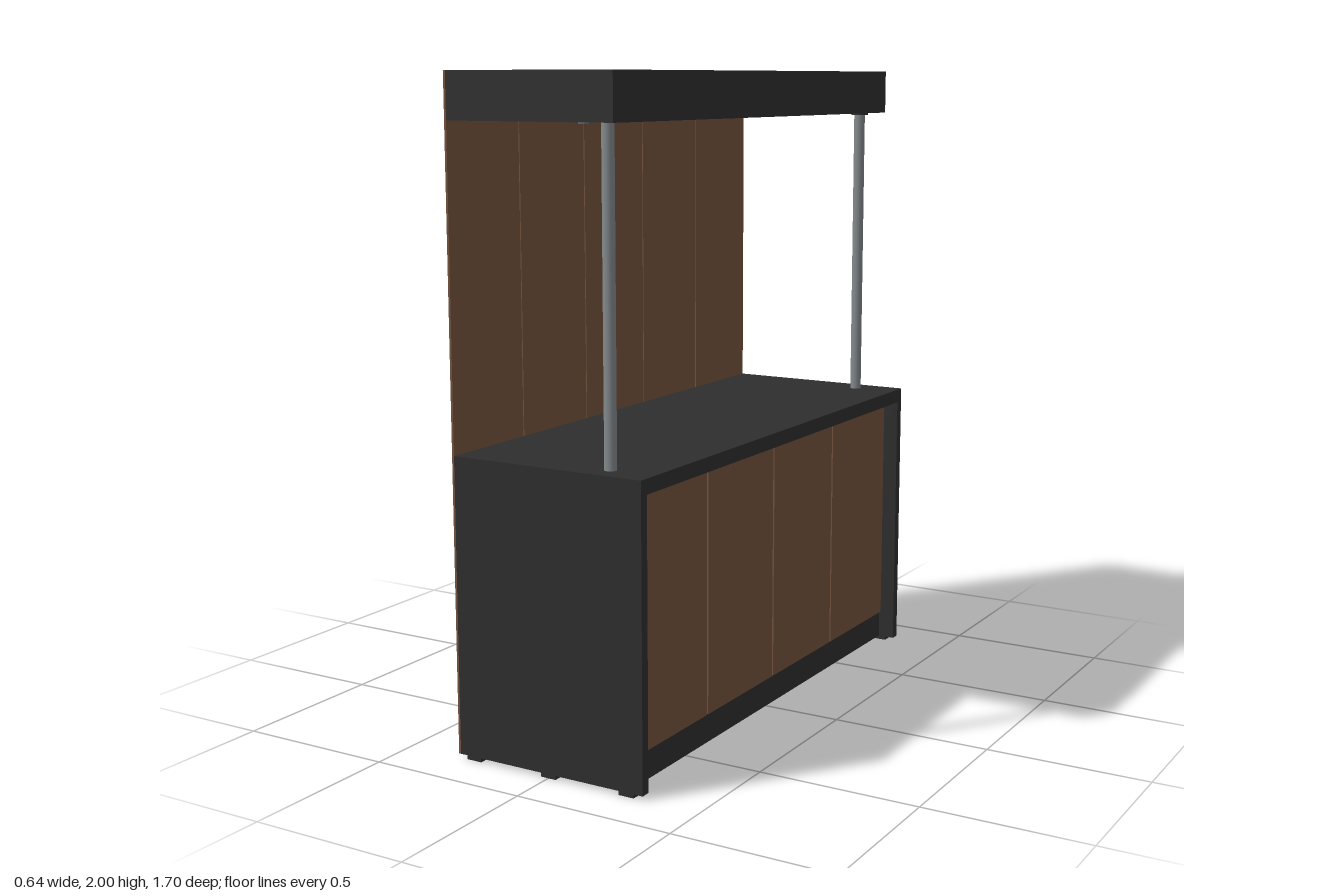
import * as THREE from 'three';

export function createModel() {
  const root = new THREE.Group();
  root.name = 'servingCounter';

  const mat = (name, color) => {
    const m = new THREE.MeshStandardMaterial({ color });
    m.name = name;
    return m;
  };
  const charcoal = mat('charcoal', 0x2e2e2e);
  const wood = mat('brown wood', 0x75533e);
  const steel = mat('grey steel', 0x83898c);

  // Box given by its limits on each axis
  const box = (name, material, [x0, x1], [y0, y1], [z0, z1]) => {
    const mesh = new THREE.Mesh(new THREE.BoxGeometry(x1 - x0, y1 - y0, z1 - z0), material);
    mesh.position.set((x0 + x1) / 2, (y0 + y1) / 2, (z0 + z1) / 2);
    mesh.name = name;
    root.add(mesh);
  };
  // Upright cylinder between two heights
  const rod = (name, material, r, x, z, y0, y1) => {
    const mesh = new THREE.Mesh(new THREE.CylinderGeometry(r, r, y1 - y0, 24), material);
    mesh.position.set(x, (y0 + y1) / 2, z);
    mesh.name = name;
    root.add(mesh);
  };

  const END = 0.85, INNER = 0.82, BACK = -0.314, FRONT = 0.32;
  const FLOOR = 0.012, SHELF = 0.1, TOP = 0.865, DECK = 0.91, ROOF = 1.862;

  // Worktop and canopy
  box('worktop', charcoal, [BACK, FRONT], [TOP, DECK], [-END, END]);
  box('canopy', charcoal, [BACK, 0.24], [ROOF, 2], [-END, END]);

  // Cabinet ends, feet, posts
  for (const s of [-1, 1]) {
    const zs = [s * INNER, s * END].sort((a, b) => a - b);
    box('endPanel', charcoal, [BACK, FRONT], [FLOOR, TOP], zs);
    for (const x of [-0.265, 0, 0.265]) {
      box('foot', charcoal, [x - 0.025, x + 0.025], [0, FLOOR], zs);
    }
    rod('post', steel, 0.018, 0.177, s * 0.78, DECK, ROOF);
  }

  // Kick board, backing behind the doors, centre divider
  box('kickBoard', charcoal, [0.245, 0.265], [FLOOR, SHELF], [-INNER, INNER]);
  box('doorBacking', charcoal, [0.245, 0.255], [SHELF, TOP], [-INNER, INNER]);
  box('divider', charcoal, [BACK, 0.245], [SHELF - 0.005, TOP], [-0.01, 0.01]);

  // Cabinet floors
  box('cabinetFloor', wood, [BACK, 0.235], [SHELF, 0.12], [0.01, INNER]);
  box('cabinetFloor', wood, [BACK, 0.235], [SHELF, 0.12], [-INNER, -0.01]);

  // Four doors
  for (let i = 0; i < 4; i++) {
    const z = -INNER + i * 0.41;
    box('door', wood, [0.255, 0.272], [SHELF + 0.003, TOP - 0.003], [z + 0.004, z + 0.406]);
  }

  // Five full-height back boards
  for (let i = 0; i < 5; i++) {
    const z = -END + i * 0.34;
    box('backBoard', wood, [-0.321, BACK], [FLOOR, 2], [z + (i ? 0.002 : 0), z + (i < 4 ? 0.338 : 0.34)]);
  }

  // Downlights under the canopy
  for (const z of [-0.59, -0.197, 0.197, 0.59]) {
    rod('lightRim', charcoal, 0.028, -0.03, z, ROOF - 0.006, ROOF);
    rod('lightLens', steel, 0.016, -0.03, z, ROOF - 0.01, ROOF - 0.006);
  }
  // Collar on one post
  rod('postCollar', charcoal, 0.028, 0.177, -0.78, ROOF - 0.007, ROOF);

  return root;
}
